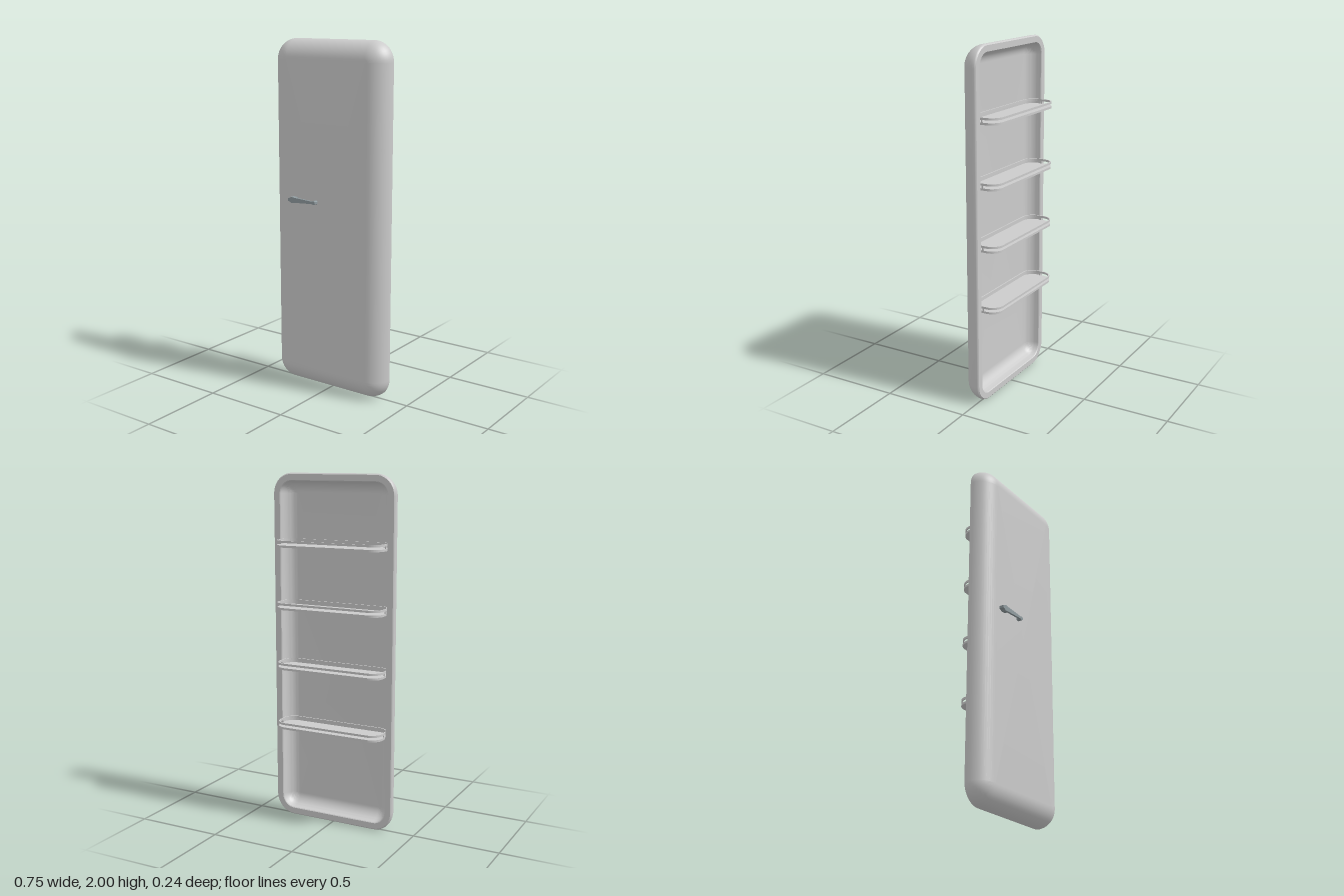
import * as THREE from 'three';
import { toCreasedNormals } from 'three/addons/utils/BufferGeometryUtils.js';

const HALF_W = 0.373, HALF_H = 1, CORNER = 0.115;
const grey = new THREE.MeshStandardMaterial({ color: 0xcccccc });
const metal = new THREE.MeshStandardMaterial({ color: 0x8f9a9e });

function add(parent, name, geometry, material = grey) {
  const mesh = new THREE.Mesh(geometry, material);
  mesh.name = name;
  parent.add(mesh);
  return mesh;
}

// Rounded rectangle outline, counterclockwise, inset from the door's silhouette
function doorRing(inset, z, steps = 10) {
  const r = Math.max(CORNER - inset, 0.005);
  const w = HALF_W - inset - r, h = HALF_H - inset - r;
  const ring = [];
  [[1, 1], [-1, 1], [-1, -1], [1, -1]].forEach(([sx, sy], q) => {
    for (let i = 0; i <= steps; i++) {
      const a = (q + i / steps) * Math.PI / 2;
      ring.push([sx * w + r * Math.cos(a), HALF_H + sy * h + r * Math.sin(a), z]);
    }
  });
  return ring;
}

// Hollow door skin: domed front, rounded rim, coved cavity open at the back
function doorGeometry() {
  const rings = [];
  const n = 12;
  for (let i = 0; i <= n; i++) {
    const a = i / n * Math.PI / 2;
    rings.push(doorRing(0.112 * (1 - Math.sin(a)), -0.015 + 0.105 * Math.cos(a)));
  }
  rings.push(doorRing(0.002, -0.021), doorRing(0.007, -0.025));
  rings.push(doorRing(0.04, -0.025), doorRing(0.044, -0.021));
  for (let i = 0; i <= n; i++) {
    const a = i / n * Math.PI / 2;
    rings.push(doorRing(0.045 + 0.066 * (1 - Math.cos(a)), -0.015 + 0.068 * Math.sin(a)));
  }
  const count = rings[0].length, pos = rings.flat(2), index = [];
  for (let i = 0; i < rings.length - 1; i++) {
    for (let j = 0; j < count; j++) {
      const k = (j + 1) % count;
      const a = i * count + j, b = i * count + k, c = b + count, d = a + count;
      index.push(a, d, c, a, c, b);
    }
  }
  // Flat front panel and cavity floor
  const front = pos.length / 3, last = (rings.length - 1) * count;
  pos.push(0, HALF_H, rings[0][0][2], 0, HALF_H, rings.at(-1)[0][2]);
  for (let j = 0; j < count; j++) {
    const k = (j + 1) % count;
    index.push(front, j, k, front + 1, last + k, last + j);
  }
  const g = new THREE.BufferGeometry();
  g.setAttribute('position', new THREE.Float32BufferAttribute(pos, 3));
  g.setIndex(index);
  return toCreasedNormals(g, 0.6);
}

// Rounded rectangle in plan (x, z) for the shelves
function shelfOutline(inset, path = new THREE.Shape()) {
  const x = 0.328 - inset, z0 = -0.12 + inset, z1 = 0.052 - inset, r = 0.068 - inset;
  path.moveTo(-x + r, z0);
  path.lineTo(x - r, z0);
  path.absarc(x - r, z0 + r, r, -Math.PI / 2, 0);
  path.lineTo(x, z1 - r);
  path.absarc(x - r, z1 - r, r, 0, Math.PI / 2);
  path.lineTo(-x + r, z1);
  path.absarc(-x + r, z1 - r, r, Math.PI / 2, Math.PI);
  path.lineTo(-x, z0 + r);
  path.absarc(-x + r, z0 + r, r, Math.PI, Math.PI * 1.5);
  return path;
}

// Extrude a plan shape so it spans y = bottom to y = top
function slab(shape, bottom, top) {
  const g = new THREE.ExtrudeGeometry(shape, { depth: top - bottom, bevelEnabled: false, curveSegments: 10 });
  g.rotateX(Math.PI / 2).translate(0, top, 0);
  return toCreasedNormals(g, 0.6);
}

function makeShelf() {
  const shelf = new THREE.Group();
  shelf.name = 'shelf';
  add(shelf, 'shelfPlate', slab(shelfOutline(0), -0.006, 0.006));
  const loop = shelfOutline(0);
  loop.holes.push(shelfOutline(0.007, new THREE.Path()));
  add(shelf, 'shelfRail', slab(loop, 0.02, 0.032));
  for (const s of [-1, 1]) {
    add(shelf, 'railPost', new THREE.BoxGeometry(0.006, 0.016, 0.008)).position.set(s * 0.324, 0.013, -0.031);
  }
  return shelf;
}

function makeHandle() {
  const handle = new THREE.Group();
  handle.name = 'handle';
  const extrude = (half, depth) => {
    const upper = half.map(([x, y]) => new THREE.Vector2(x, y));
    const lower = half.map(([x, y]) => new THREE.Vector2(x, -y)).reverse();
    return new THREE.ExtrudeGeometry(new THREE.Shape([...lower, ...upper]), { depth, bevelEnabled: false });
  };
  // Tapering grip with a broad head and a small end knob
  const head = [[-0.237, 0.007], [-0.221, 0.012], [-0.215, 0.017], [-0.183, 0.014]];
  const knob = [[-0.068, 0.007], [-0.062, 0.01], [-0.052, 0.01], [-0.047, 0.006]];
  add(handle, 'handleGrip', extrude([...head, ...knob], 0.012), metal).position.z = 0.105;
  add(handle, 'handleHead', extrude(head, 0.02), metal).position.z = 0.086;
  add(handle, 'handleFoot', extrude(knob, 0.02), metal).position.z = 0.086;
  handle.position.y = 1.107;
  return handle;
}

export function createModel() {
  const model = new THREE.Group();
  model.name = 'refrigeratorDoor';
  add(model, 'doorShell', doorGeometry());
  for (const y of [0.555, 0.905, 1.25, 1.6]) {
    const shelf = makeShelf();
    shelf.position.y = y;
    model.add(shelf);
  }
  model.add(makeHandle());
  return model;
}
